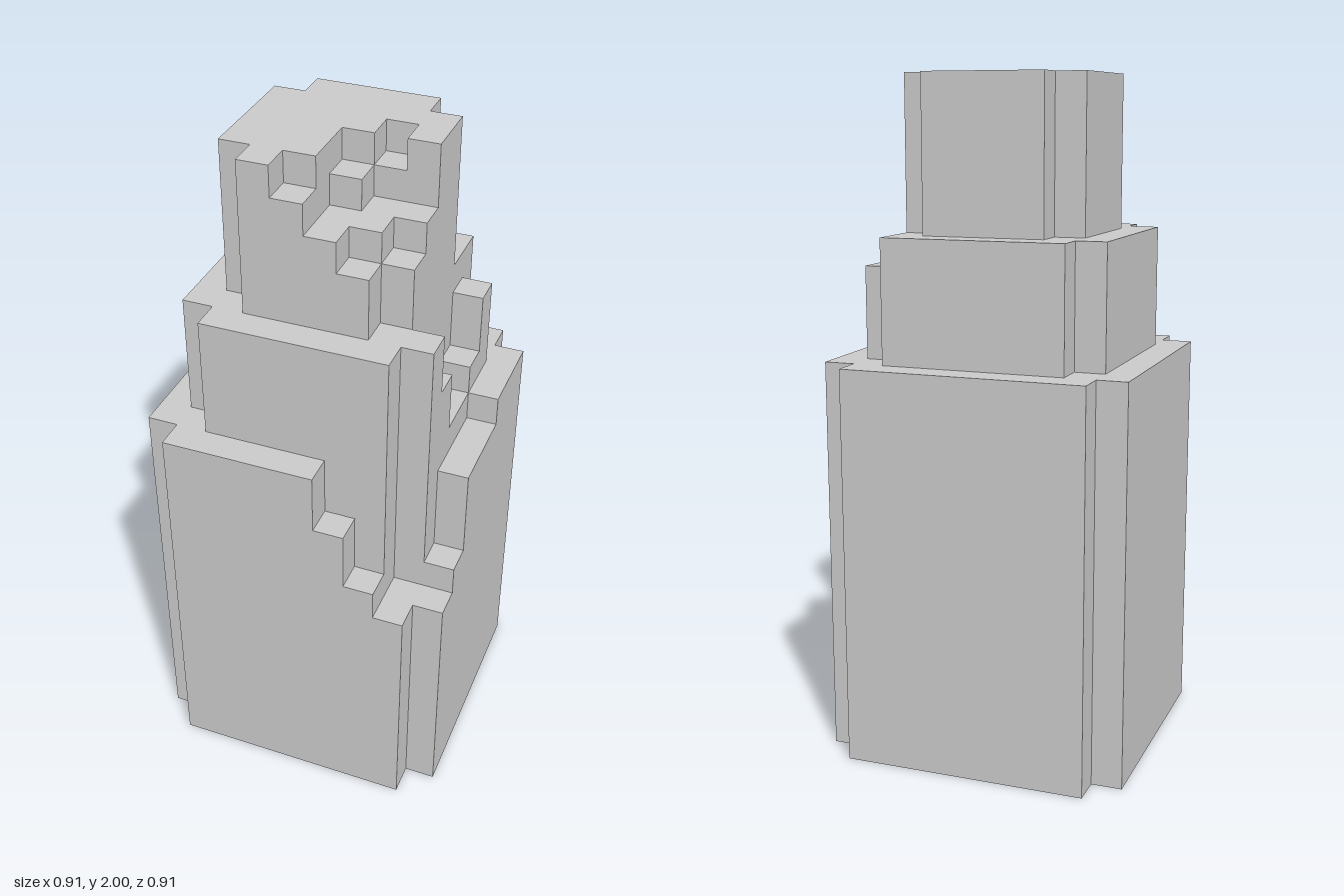
import * as THREE from 'three';

const U = 1 / 11; // edge length of one block

// Three stacked tiers, each a square of blocks with its corner blocks missing
const TIERS = [
  { name: 'baseTier', half: 5, from: 0, to: 13 },
  { name: 'middleTier', half: 4, from: 13, to: 17 },
  { name: 'topTier', half: 3, from: 17, to: 22 },
];

// Broken corner: 'column,row' -> remaining height in blocks
const BROKEN = {
  // base tier
  '1,4': 11, '2,4': 9, '3,4': 8, '3,3': 8, '4,3': 8, '4,2': 9, '4,1': 12, '4,0': 12, '4,-1': 12,
  // middle tier
  '3,1': 15, '3,0': 13, '3,-1': 13, '3,-2': 14, '3,-3': 16,
  // top tier
  '-1,2': 21, '0,2': 20, '1,2': 19, '0,1': 20, '1,1': 20, '2,1': 19,
  '0,0': 21, '1,0': 20, '2,0': 20, '1,-1': 21,
};

function inTier(i, k, n) {
  const a = Math.abs(i + 0.5), b = Math.abs(k + 0.5);
  return a < n && b < n && !(a > n - 1 && b > n - 1);
}

function heightAt(i, k) {
  const broken = BROKEN[`${i},${k}`];
  if (broken !== undefined) return broken;
  let h = 0;
  for (const t of TIERS) if (inTier(i, k, t.half)) h = t.to;
  return h;
}

// Only the exposed block faces between the tier's two levels
function tierGeometry({ half, from, to }) {
  const pos = [];
  const quad = (a, b, c, d) => {
    for (const p of [a, b, c, a, c, d]) pos.push(p[0] * U, p[1] * U, p[2] * U);
  };
  for (let i = -half; i < half; i++) {
    for (let k = -half; k < half; k++) {
      const h = heightAt(i, k);
      if (h <= from) continue;
      // top and underside
      if (h <= to) quad([i, h, k + 1], [i + 1, h, k + 1], [i + 1, h, k], [i, h, k]);
      if (from === 0) quad([i, 0, k], [i + 1, 0, k], [i + 1, 0, k + 1], [i, 0, k + 1]);
      // walls towards lower neighbours
      for (const [dx, dz] of [[1, 0], [-1, 0], [0, 1], [0, -1]]) {
        const low = Math.max(heightAt(i + dx, k + dz), from);
        const high = Math.min(h, to);
        if (low >= high) continue;
        const x = i + 0.5 + dx / 2, z = k + 0.5 + dz / 2;
        const tx = dz / 2, tz = -dx / 2;
        quad([x - tx, low, z - tz], [x + tx, low, z + tz],
          [x + tx, high, z + tz], [x - tx, high, z - tz]);
      }
    }
  }
  const geometry = new THREE.BufferGeometry();
  geometry.setAttribute('position', new THREE.Float32BufferAttribute(pos, 3));
  geometry.computeVertexNormals();
  return geometry;
}

export function createModel() {
  const model = new THREE.Group();
  model.name = 'brokenTower';
  const material = new THREE.MeshStandardMaterial({ color: 0xcccccc, flatShading: true });
  for (const tier of TIERS) {
    const mesh = new THREE.Mesh(tierGeometry(tier), material);
    mesh.name = tier.name;
    model.add(mesh);
  }
  return model;
}
